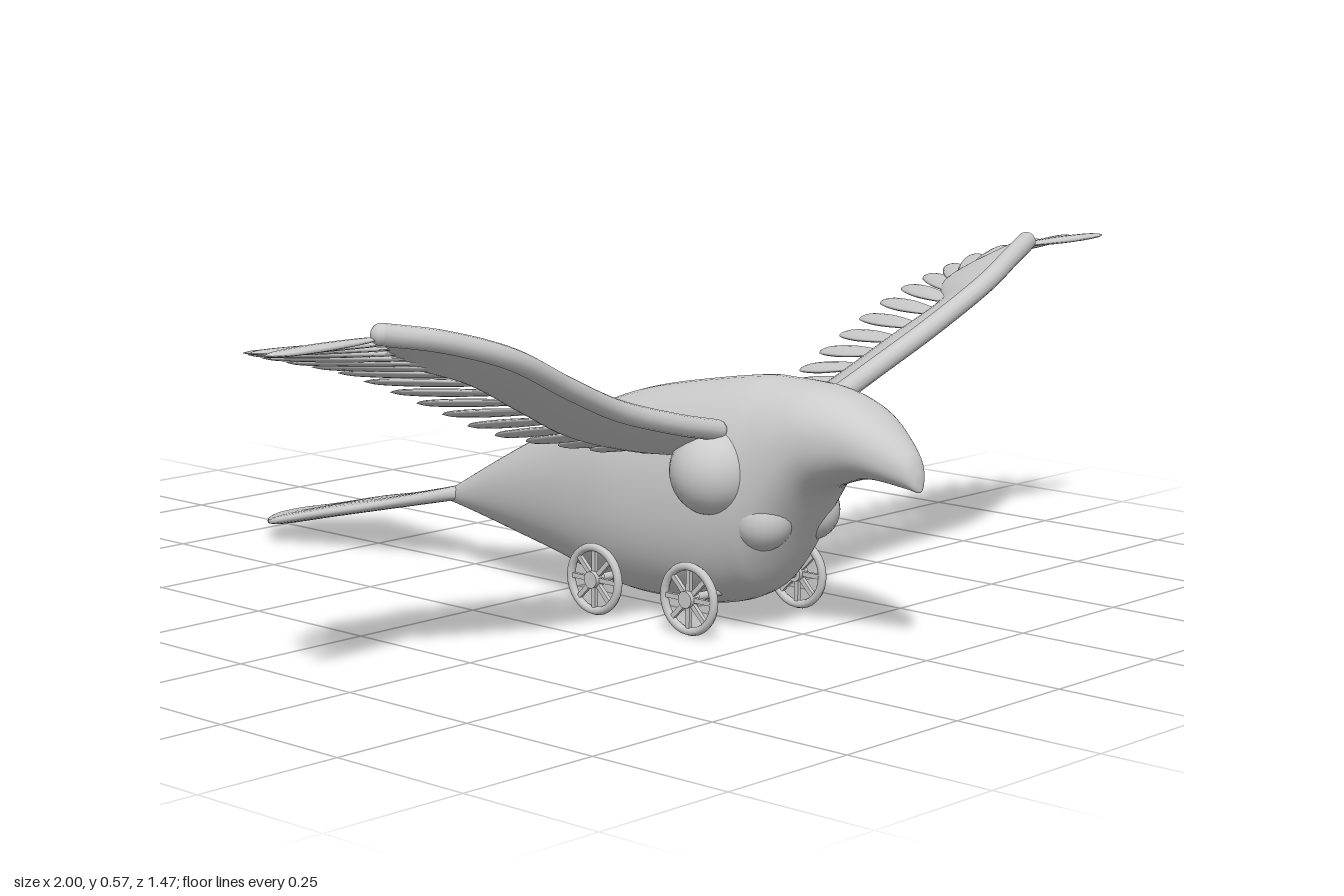
import * as THREE from 'three';

const grey = new THREE.MeshStandardMaterial({ color: 0xcccccc });
const V = (p) => new THREE.Vector3(...p);
const curve = (pts) => new THREE.CatmullRomCurve3(pts.map(V), false, 'catmullrom', 0.5);

function add(parent, name, geometry, pos = [0, 0, 0]) {
  const mesh = new THREE.Mesh(geometry, grey);
  mesh.name = name;
  mesh.position.set(...pos);
  parent.add(mesh);
  return mesh;
}

// Skin a surface over closed rings: ringPoint(t, angle) -> Vector3
function loft(ringPoint, rows, cols) {
  const pos = [], idx = [];
  for (let i = 0; i <= rows; i++) {
    for (let j = 0; j < cols; j++) {
      pos.push(...ringPoint(i / rows, (j / cols) * Math.PI * 2).toArray());
      if (i === rows) continue;
      const k = (j + 1) % cols, a = i * cols + j, b = i * cols + k;
      idx.push(a, a + cols, b, b, a + cols, b + cols);
    }
  }
  const g = new THREE.BufferGeometry();
  g.setAttribute('position', new THREE.Float32BufferAttribute(pos, 3));
  g.setIndex(idx);
  g.computeVertexNormals();
  return g;
}

// Front-to-back hull from stations [z, top, bottom, halfWidth]
function hull(stations, rows, cols, power) {
  const sides = curve(stations.map(([z, top, bottom]) => [z, top, bottom]));
  const widths = curve(stations.map(([z, , , w]) => [z, w, 0]));
  const soft = (v) => Math.sign(v) * Math.abs(v) ** power;
  return loft((t, a) => {
    const { x: z, y: top, z: bottom } = sides.getPoint(t);
    const w = Math.max(0, widths.getPoint(t).y);
    return new THREE.Vector3(w * soft(Math.cos(a)),
      (top + bottom) / 2 + (top - bottom) / 2 * soft(Math.sin(a)), z);
  }, rows, cols);
}

const BODY = [
  [0.733, 0.268, 0.264, 0], [0.728, 0.297, 0.262, 0.014], [0.71, 0.328, 0.266, 0.03],
  [0.65, 0.375, 0.273, 0.062], [0.6, 0.398, 0.262, 0.078], [0.55, 0.409, 0.237, 0.092],
  [0.51, 0.412, 0.18, 0.102], [0.46, 0.413, 0.09, 0.113], [0.42, 0.412, 0.052, 0.12],
  [0.34, 0.4, 0.028, 0.128], [0.2, 0.372, 0.022, 0.13], [0.1, 0.34, 0.032, 0.118],
  [0, 0.29, 0.055, 0.098], [-0.1, 0.24, 0.073, 0.073], [-0.2, 0.187, 0.09, 0.045],
  [-0.29, 0.137, 0.104, 0.02], [-0.34, 0.113, 0.108, 0],
];
const TAIL = [
  [-0.26, 0.128, 0.116, 0], [-0.28, 0.137, 0.112, 0.03], [-0.35, 0.12, 0.096, 0.055],
  [-0.45, 0.095, 0.073, 0.083], [-0.55, 0.073, 0.05, 0.11], [-0.63, 0.053, 0.031, 0.131],
  [-0.65, 0.048, 0.027, 0.13], [-0.69, 0.039, 0.018, 0.1], [-0.715, 0.034, 0.014, 0.076],
  [-0.733, 0.03, 0.013, 0.045], [-0.74, 0.022, 0.02, 0],
];

// Wing guide lines: front bone, back of the arm, feather tips
const LEAD = curve([[0.11, 0.335, 0.41], [0.2, 0.355, 0.405], [0.32, 0.39, 0.395], [0.44, 0.44, 0.405],
  [0.57, 0.5, 0.415], [0.68, 0.535, 0.39], [0.775, 0.553, 0.355]]);
const REAR = curve([[0.09, 0.285, 0.29], [0.2, 0.305, 0.29], [0.32, 0.34, 0.28], [0.44, 0.395, 0.295],
  [0.57, 0.455, 0.315], [0.66, 0.49, 0.27], [0.77, 0.55, 0.345]]);
const TIPS = curve([[0.18, 0.285, 0.2], [0.35, 0.325, 0.155], [0.5, 0.39, 0.15], [0.67, 0.46, 0.155],
  [0.84, 0.505, 0.18], [0.915, 0.525, 0.22], [0.97, 0.54, 0.28], [1, 0.547, 0.36]]);

function makeWing() {
  const wing = new THREE.Group();
  // Padded arm behind the bone
  add(wing, 'wingArm', loft((t, a) => {
    const l = LEAD.getPoint(t), r = REAR.getPoint(t);
    const p = l.clone().add(r).multiplyScalar(0.5);
    p.addScaledVector(l.sub(r), Math.cos(a) / 2);
    p.y += Math.sin(a) * (0.02 - 0.011 * t);
    return p;
  }, 48, 20));
  // Rounded front bone
  add(wing, 'wingBone', new THREE.TubeGeometry(LEAD, 48, 0.017, 12));
  for (const t of [0, 1]) {
    add(wing, 'wingBoneEnd', new THREE.SphereGeometry(0.017, 12, 8), LEAD.getPoint(t).toArray());
  }
  // Fan of leaf-shaped feathers
  const outline = new THREE.SplineCurve([[0, 0], [0.3, 0.12], [0.47, 0.4], [0.5, 0.65], [0.36, 0.9], [0, 1]]
    .map(([x, y]) => new THREE.Vector2(x, y))).getPoints(20);
  outline.forEach((p) => { p.x = Math.max(0, p.x); });
  const leaf = new THREE.LatheGeometry(outline, 12);
  const count = 17;
  for (let i = 0; i < count; i++) {
    const u = i / (count - 1), t = 0.06 + 0.92 * u ** 0.75;
    const base = LEAD.getPoint(t).lerp(REAR.getPoint(t), 0.65);
    const dir = TIPS.getPointAt(u).sub(base);
    const length = dir.length();
    dir.normalize();
    const across = new THREE.Vector3().crossVectors(dir, V([-0.35, 1, 0])).normalize();
    const normal = new THREE.Vector3().crossVectors(across, dir);
    const feather = add(wing, 'feather', leaf, base.toArray());
    feather.quaternion.setFromRotationMatrix(new THREE.Matrix4().makeBasis(across, dir, normal));
    feather.scale.set(0.048 - 0.012 * u, length, 0.011);
  }
  return wing;
}

// Spoked wheel with its axle along x
function makeWheel() {
  const wheel = new THREE.Group();
  wheel.name = 'wheel';
  const rim = add(wheel, 'rim', new THREE.TorusGeometry(0.053, 0.007, 8, 32));
  rim.rotation.y = Math.PI / 2;
  const hub = add(wheel, 'hub', new THREE.CylinderGeometry(0.014, 0.014, 0.022, 16));
  hub.rotation.z = Math.PI / 2;
  for (let i = 0; i < 4; i++) {
    const spokes = add(wheel, 'spokePair', new THREE.BoxGeometry(0.007, 0.104, 0.008));
    spokes.rotation.x = (i * Math.PI) / 4;
  }
  return wheel;
}

// Everything that exists on both sides
function makeSide() {
  const side = new THREE.Group();
  const wing = makeWing();
  wing.name = 'wing';
  side.add(wing);
  // Shoulder and breast swellings
  add(side, 'shoulder', new THREE.SphereGeometry(0.072, 28, 20), [0.095, 0.265, 0.392]);
  add(side, 'breast', new THREE.SphereGeometry(0.05, 24, 16), [0.058, 0.19, 0.462]);
  // Ring windows lying on the back
  for (const [x, y, z] of [[0.097, 0.3, 0.143], [0.106, 0.31, 0.265]]) {
    const ring = add(side, 'ringWindow', new THREE.TorusGeometry(0.029, 0.006, 10, 32), [x, y, z]);
    ring.lookAt(x + 0.82, y + 0.57, z - 0.12);
  }
  for (const z of [0.375, 0.167]) {
    const wheel = makeWheel();
    wheel.position.set(0.134, 0.06, z);
    side.add(wheel);
  }
  return side;
}

export function createModel() {
  const model = new THREE.Group();
  model.name = 'birdCarriage';
  add(model, 'body', hull(BODY, 96, 48, 0.92));
  add(model, 'tail', hull(TAIL, 60, 24, 0.7));
  const left = makeSide(), right = makeSide();
  left.name = 'leftSide';
  right.name = 'rightSide';
  right.scale.x = -1;
  model.add(left, right);
  // Axles under the belly
  for (const z of [0.375, 0.167]) {
    const axle = add(model, 'axle', new THREE.CylinderGeometry(0.007, 0.007, 0.27, 12), [0, 0.06, z]);
    axle.rotation.z = Math.PI / 2;
  }
  return model;
}
